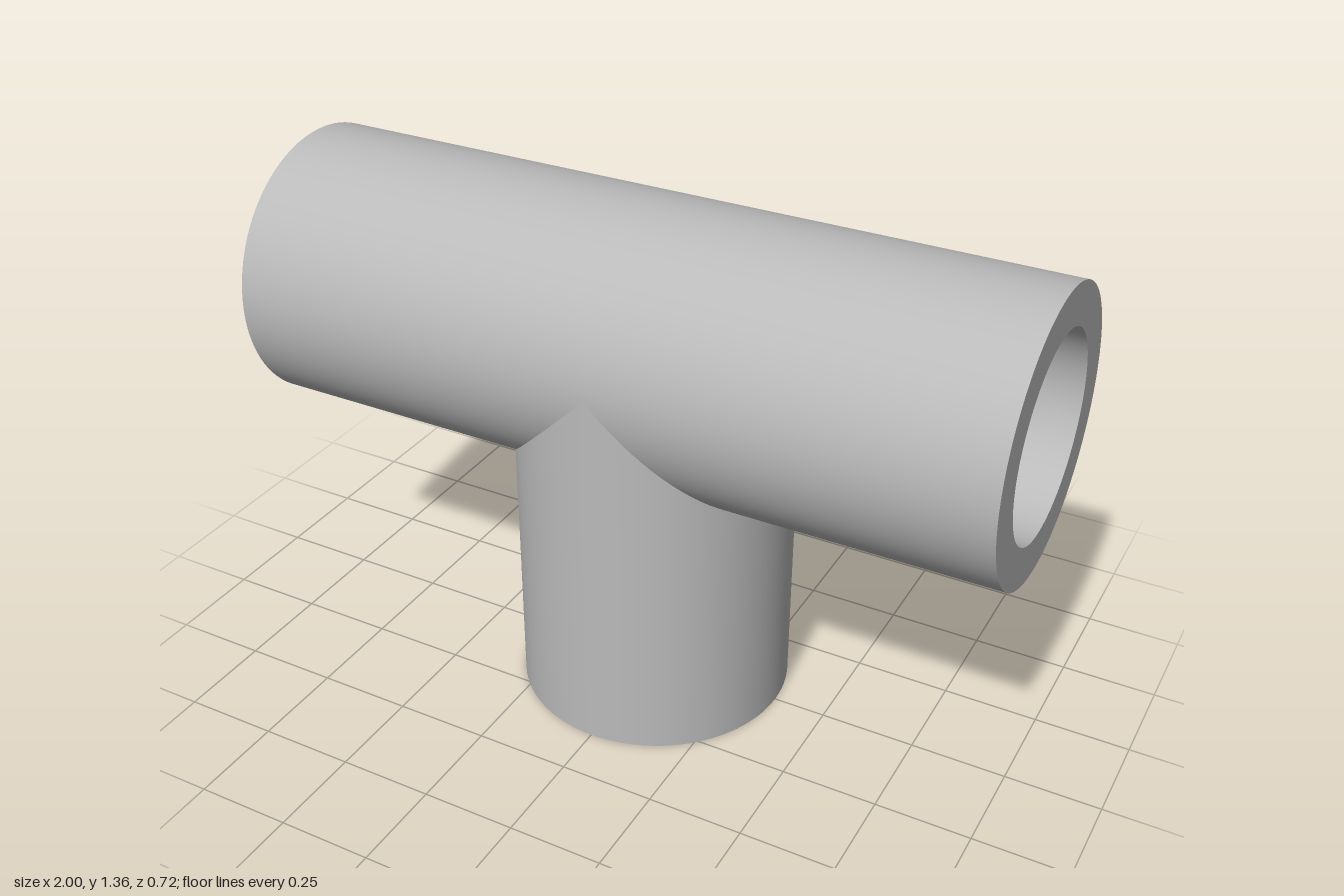
import * as THREE from 'three';

const OUTER = 0.36, SOCKET = 0.255, BORE = 0.18;
const REACH = 1, STEP = 0.52, SEGMENTS = 96;

// Round wall along +y, running from a mitred start to a flat end
function wall(r, start, end, inward) {
  const g = new THREE.CylinderGeometry(r, r, 1, SEGMENTS, 1, true);
  const p = g.attributes.position, n = g.attributes.normal;
  for (let i = 0; i < p.count; i++) {
    p.setY(i, p.getY(i) > 0 ? end : start(p.getX(i)));
    if (inward) n.setXYZ(i, -n.getX(i), 0, -n.getZ(i));
  }
  if (inward) g.setIndex(Array.from(g.index.array).reverse());
  return g;
}

// Flat ring facing +y
function ring(inner, outer, y) {
  return new THREE.RingGeometry(inner, outer, SEGMENTS, 1).rotateX(-Math.PI / 2).translate(0, y, 0);
}

// One hollow arm of the tee, with a stepped socket at its open end
function arm(name, mitre, material) {
  const group = new THREE.Group();
  group.name = name;
  const add = (part, geometry) => {
    const mesh = new THREE.Mesh(geometry, material);
    mesh.name = part;
    group.add(mesh);
  };
  add('outerWall', wall(OUTER, mitre, REACH, false));
  add('endRim', ring(SOCKET, OUTER, REACH));
  add('socketWall', wall(SOCKET, () => STEP, REACH, true));
  add('socketStop', ring(BORE, SOCKET, STEP));
  add('boreWall', wall(BORE, mitre, STEP, true));
  return group;
}

export function createModel() {
  const grey = new THREE.MeshStandardMaterial({ color: 0xbababa });
  grey.name = 'pipeGrey';

  const model = new THREE.Group();
  model.name = 'pipeTee';

  // Run arms: mitred only on the lower half, where the branch joins
  const left = arm('leftArm', x => Math.max(0, x), grey);
  left.rotation.z = -Math.PI / 2;
  const right = arm('rightArm', x => Math.max(0, -x), grey);
  right.rotation.z = Math.PI / 2;

  // Branch arm: points down, mitred against both run arms
  const branch = arm('branchArm', x => Math.abs(x), grey);
  branch.rotation.x = Math.PI;

  for (const part of [left, right, branch]) {
    part.position.y = REACH;
    model.add(part);
  }
  return model;
}
